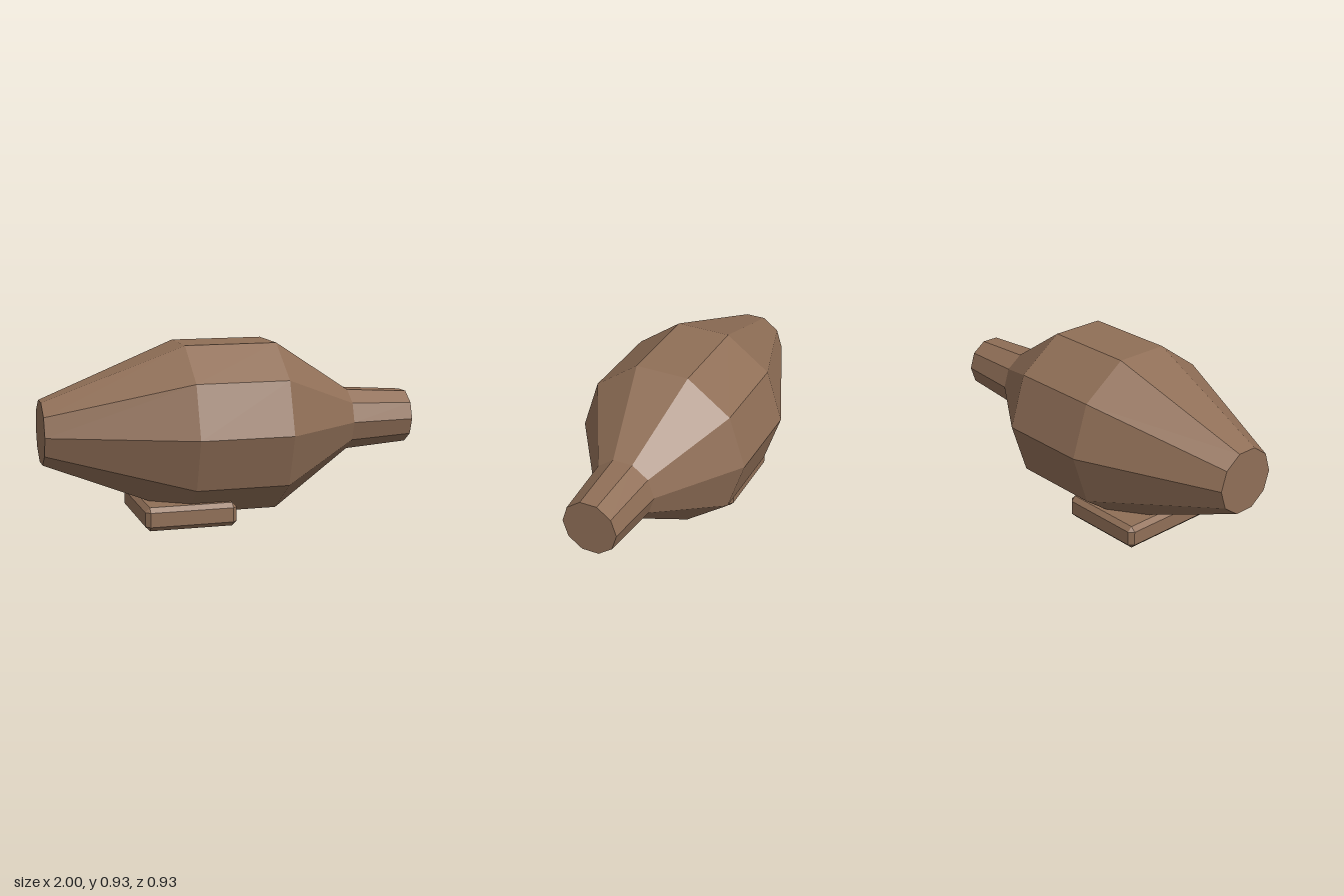
import * as THREE from 'three';
import { ConvexGeometry } from 'three/addons/geometries/ConvexGeometry.js';

// Box with every edge and corner cut off at 45 degrees
function chamferedBox(w, h, d, c) {
  const points = [];
  for (const sx of [-1, 1]) for (const sy of [-1, 1]) for (const sz of [-1, 1]) {
    const x = w / 2, y = h / 2, z = d / 2;
    for (const [px, py, pz] of [[x, y - c, z - c], [x - c, y, z - c], [x - c, y - c, z]]) {
      points.push(new THREE.Vector3(sx * px, sy * py, sz * pz));
    }
  }
  return new ConvexGeometry(points);
}

export function createModel() {
  const group = new THREE.Group();
  group.name = 'barrelBody';

  const brown = new THREE.MeshStandardMaterial({ color: 0x906f57 });
  brown.name = 'brown';
  brown.flatShading = true;

  // Ten-sided body with a tapered tail and a narrow neck, lying along x
  const profile = [[0, -1], [0.17, -1], [0.463, -0.27], [0.463, 0.22], [0.17, 0.655], [0.146, 1], [0, 1]]
    .map(([r, y]) => new THREE.Vector2(r, y));
  const body = new THREE.Mesh(new THREE.LatheGeometry(profile, 10).rotateZ(-Math.PI / 2), brown);
  body.name = 'body';
  body.position.y = 0.49;
  group.add(body);

  // Flat chamfered foot beneath the body
  const foot = new THREE.Mesh(chamferedBox(0.484, 0.123, 0.584, 0.024), brown);
  foot.name = 'foot';
  foot.position.set(-0.272, 0.0615, 0);
  group.add(foot);

  return group;
}
